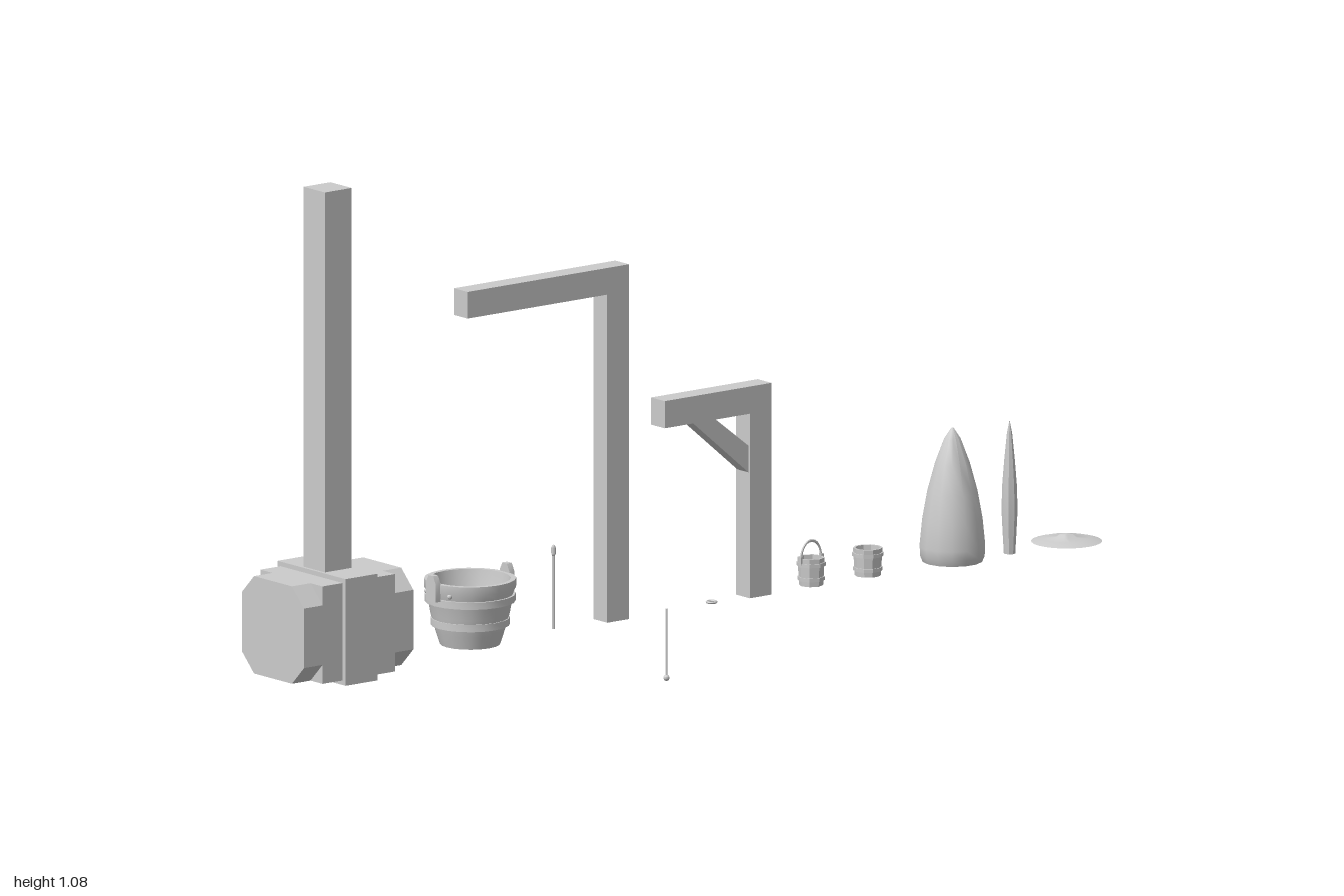
import * as THREE from 'three';
import { toCreasedNormals } from 'three/addons/utils/BufferGeometryUtils.js';

const material = new THREE.MeshStandardMaterial({ color: 0xcccccc, side: THREE.DoubleSide });
const GROUND = 0.143;

function add(parent, name, geometry, x = 0, y = 0, z = 0) {
  const mesh = new THREE.Mesh(toCreasedNormals(geometry, 0.6), material);
  mesh.name = name;
  mesh.position.set(x, y, z);
  parent.add(mesh);
  return mesh;
}

// Box given by its width and its limits in y and z
function beam(parent, name, w, y0, y1, z0, z1) {
  return add(parent, name, new THREE.BoxGeometry(w, y1 - y0, z1 - z0), 0, (y0 + y1) / 2, (z0 + z1) / 2);
}

function lathe(parent, name, profile, sides, z, y = GROUND) {
  const points = profile.map(([r, h]) => new THREE.Vector2(r, h));
  return add(parent, name, new THREE.LatheGeometry(points, sides), 0, y, z);
}

function group(parent, name) {
  const g = new THREE.Group();
  g.name = name;
  parent.add(g);
  return g;
}

// Flat hoop wrapped around a vessel
function hoop(parent, name, r, h, height, sides, z) {
  lathe(parent, name, [[r - 0.006, h], [r, h], [r, h + height], [r - 0.006, h + height]], sides, z);
}

function buildMallet(root) {
  const g = group(root, 'mallet');
  const zc = 0.867, half = 0.095, cut = 0.037, yc = 0.235;
  beam(g, 'malletHandle', 0.065, 0.33, 1.08, zc - 0.0325, zc + 0.0325);
  beam(g, 'malletBand', 0.208, 0.131, 0.339, zc - 0.039, zc + 0.039);
  beam(g, 'malletHead', half * 2, yc - half, yc + half, zc - 0.088, zc + 0.088);
  // Striking ends with cut corners
  const a = half, b = half - cut;
  const octagon = new THREE.Shape([[a, -b], [a, b], [b, a], [-b, a], [-a, b], [-a, -b], [-b, -a], [b, -a]]
    .map(([x, y]) => new THREE.Vector2(x, y)));
  for (const side of [-1, 1]) {
    const end = new THREE.ExtrudeGeometry(octagon, { depth: 0.045, bevelEnabled: false });
    add(g, 'strikingEnd', end, 0, yc, zc + (side > 0 ? 0.088 : -0.133));
  }
}

function buildTub(root) {
  const g = group(root, 'tub'), z = 0.52;
  lathe(g, 'tubBody', [[0, 0], [0.058, 0], [0.066, 0.025], [0.076, 0.06], [0.083, 0.1], [0.088, 0.112],
    [0.088, 0.128], [0.078, 0.128], [0.07, 0.07], [0.056, 0.025], [0, 0.025]], 20, z);
  hoop(g, 'lowerHoop', 0.076, 0.038, 0.014, 20, z);
  hoop(g, 'upperHoop', 0.087, 0.084, 0.014, 20, z);
  // Lugs that rise above the rim at front and back
  const shape = new THREE.Shape([[-0.015, 0], [0.015, 0], [0.015, 0.035], [0.007, 0.05], [-0.007, 0.05], [-0.015, 0.035]]
    .map(([x, y]) => new THREE.Vector2(x, y)));
  for (const side of [-1, 1]) {
    const lug = new THREE.ExtrudeGeometry(shape, { depth: 0.012, bevelEnabled: false });
    add(g, 'lug', lug, 0, 0.238, z + side * 0.09 - 0.006);
    for (const x of [-0.035, 0.035]) {
      add(g, 'stud', new THREE.SphereGeometry(0.005, 8, 6), x, 0.25, z + side * 0.078);
    }
  }
}

function buildGallows(root) {
  const tall = group(root, 'tallHoist');
  beam(tall, 'tallPost', 0.042, GROUND, 0.783, 0.15, 0.203);
  beam(tall, 'tallArm', 0.042, 0.783, 0.835, 0.15, 0.543);

  const low = group(root, 'lowHoist');
  beam(low, 'lowPost', 0.042, GROUND, 0.556, -0.197, -0.144);
  beam(low, 'lowArm', 0.042, 0.503, 0.556, -0.144, 0.063);
  // Diagonal brace, drawn in the z-y plane
  const outline = new THREE.Shape([[0.008, 0.503], [0.063, 0.503], [0.144, 0.44], [0.144, 0.388]]
    .map(([u, y]) => new THREE.Vector2(u, y)));
  const brace = new THREE.ExtrudeGeometry(outline, { depth: 0.034, bevelEnabled: false });
  brace.translate(0, 0, -0.017).rotateY(Math.PI / 2);
  add(low, 'brace', brace);
}

function buildRopes(root) {
  const upright = group(root, 'uprightRod');
  add(upright, 'rodShaft', new THREE.CylinderGeometry(0.0025, 0.0025, 0.15, 8), 0, GROUND + 0.075, 0.317);
  add(upright, 'rodTip', new THREE.SphereGeometry(0.005, 8, 6).scale(1, 2.4, 1), 0, 0.296, 0.317);

  const hanging = group(root, 'hangingRope');
  add(hanging, 'ropeStrand', new THREE.CylinderGeometry(0.0022, 0.0022, 0.13, 8), 0, 0.08, 0.042);
  add(hanging, 'ropeKnot', new THREE.SphereGeometry(0.006, 10, 8), 0, 0.01, 0.042);

  const ring = new THREE.TorusGeometry(0.009, 0.0025, 6, 14).rotateX(Math.PI / 2);
  add(root, 'looseRing', ring, 0, GROUND, -0.068);
}

function buildPail(root, name, z, r, sides, handled) {
  const g = group(root, name);
  lathe(g, 'pailBody', [[0, 0], [r * 0.86, 0], [r * 0.97, 0.054], [r * 0.82, 0.054], [r * 0.75, 0.01], [0, 0.01]], sides, z);
  hoop(g, 'lowerHoop', r * 0.97, 0.01, 0.007, sides, z);
  hoop(g, 'upperHoop', r * 1.04, 0.038, 0.007, sides, z);
  if (handled) {
    const bail = new THREE.TorusGeometry(0.024, 0.0022, 6, 14, Math.PI);
    bail.rotateY(Math.PI / 2).scale(1, 1.35, 1);
    add(g, 'bail', bail, 0, GROUND + 0.054, z);
    for (const s of [-1, 1]) beam(g, 'bailLug', 0.008, 0.185, 0.201, z + s * 0.025 - 0.003, z + s * 0.025 + 0.003);
  }
}

function buildWaterShapes(root) {
  lathe(root, 'broadSpout', [[0, 0], [0.058, 0], [0.063, 0.012], [0.064, 0.03], [0.059, 0.08], [0.049, 0.135],
    [0.034, 0.19], [0.016, 0.238], [0.003, 0.258], [0, 0.26]], 14, -0.654);
  lathe(root, 'thinSpout', [[0, -0.005], [0.011, -0.005], [0.013, 0.03], [0.0155, 0.08], [0.014, 0.13],
    [0.01, 0.18], [0.005, 0.23], [0, 0.255]], 8, -0.793);
  lathe(root, 'ripple', [[0.068, 0], [0.045, 0.006], [0.02, 0.008], [0.013, 0.013], [0, 0.015]], 24, -0.932);
}

export function createModel() {
  const root = new THREE.Group();
  root.name = 'wellParts';
  buildMallet(root);
  buildTub(root);
  buildGallows(root);
  buildRopes(root);
  buildPail(root, 'handledPail', -0.31, 0.027, 8, true);
  buildPail(root, 'plainPail', -0.448, 0.029, 10, false);
  buildWaterShapes(root);
  return root;
}
